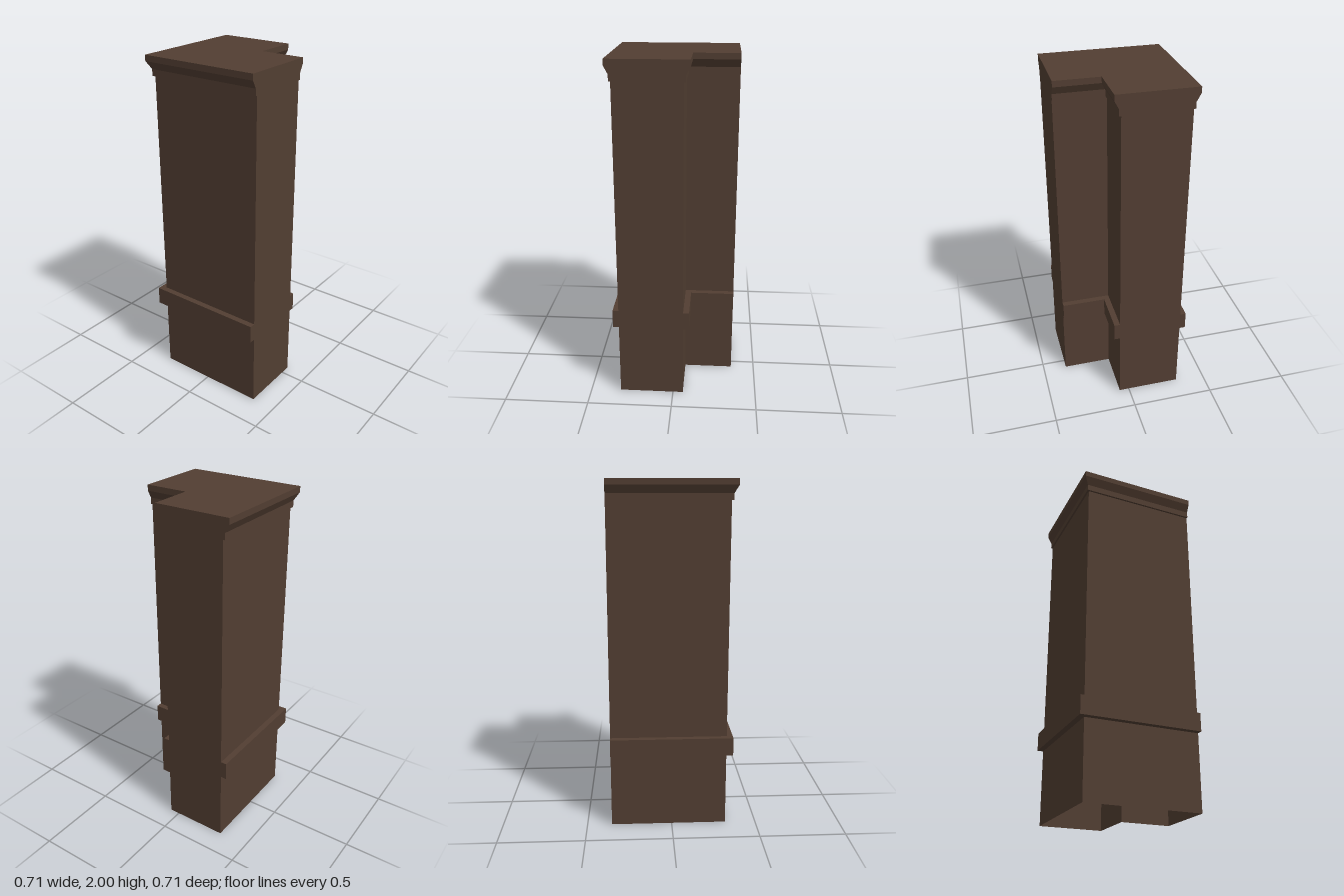
import * as THREE from 'three';

// L-shaped plan: wall corner x, z and the direction the mouldings push it out.
// The two end faces (edges 2 and 5) stay flat.
const PLAN = [
  [0.355, 0.32, 0, 1],
  [-0.32, 0.32, -1, 1],
  [-0.32, -0.355, -1, 0],
  [0.06, -0.355, 1, 0],
  [0.06, -0.06, 1, -1],
  [0.355, -0.06, 0, -1],
];
const END_EDGES = [2, 5];
const OUT = 0.035;

const ring = ([offset, y]) =>
  PLAN.map(([x, z, dx, dz]) => [x + dx * offset, y, z + dz * offset]);

// Carries a profile of [offset, height] points around the plan
function loft(profile) {
  const positions = [];
  for (let p = 0; p < profile.length - 1; p++) {
    const low = ring(profile[p]);
    const high = ring(profile[p + 1]);
    const isStep = profile[p][1] === profile[p + 1][1];
    for (let i = 0; i < PLAN.length; i++) {
      if (isStep && END_EDGES.includes(i)) continue;
      const j = (i + 1) % PLAN.length;
      positions.push(...low[j], ...low[i], ...high[i]);
      positions.push(...low[j], ...high[i], ...high[j]);
    }
  }
  const geometry = new THREE.BufferGeometry();
  geometry.setAttribute('position', new THREE.Float32BufferAttribute(positions, 3));
  geometry.computeVertexNormals();
  return geometry;
}

export function createModel() {
  const group = new THREE.Group();
  group.name = 'cornerPillar';
  const material = new THREE.MeshStandardMaterial({
    color: 0x523e32,
    side: THREE.DoubleSide,
  });
  const add = (name, geometry) => {
    const mesh = new THREE.Mesh(geometry, material);
    mesh.name = name;
    group.add(mesh);
    return mesh;
  };

  // Hollow walls, open underneath
  add('base', loft([[0, 0], [0, 0.44]]));
  add('band', loft([[0, 0.44], [OUT, 0.44], [OUT, 0.547], [0, 0.547]]));
  add('shaft', loft([[0, 0.547], [0, 1.885]]));

  // Crown moulding: small fillet, sloped underside, upright edge
  add('cornice', loft([[0, 1.885], [0.011, 1.885], [0.011, 1.922], [OUT, 1.966], [OUT, 2]]));

  // Flat lid
  const outline = ring([OUT, 0]).map(([x, , z]) => new THREE.Vector2(x, -z));
  const lid = new THREE.ShapeGeometry(new THREE.Shape(outline));
  lid.rotateX(-Math.PI / 2);
  add('top', lid).position.y = 2;

  return group;
}
